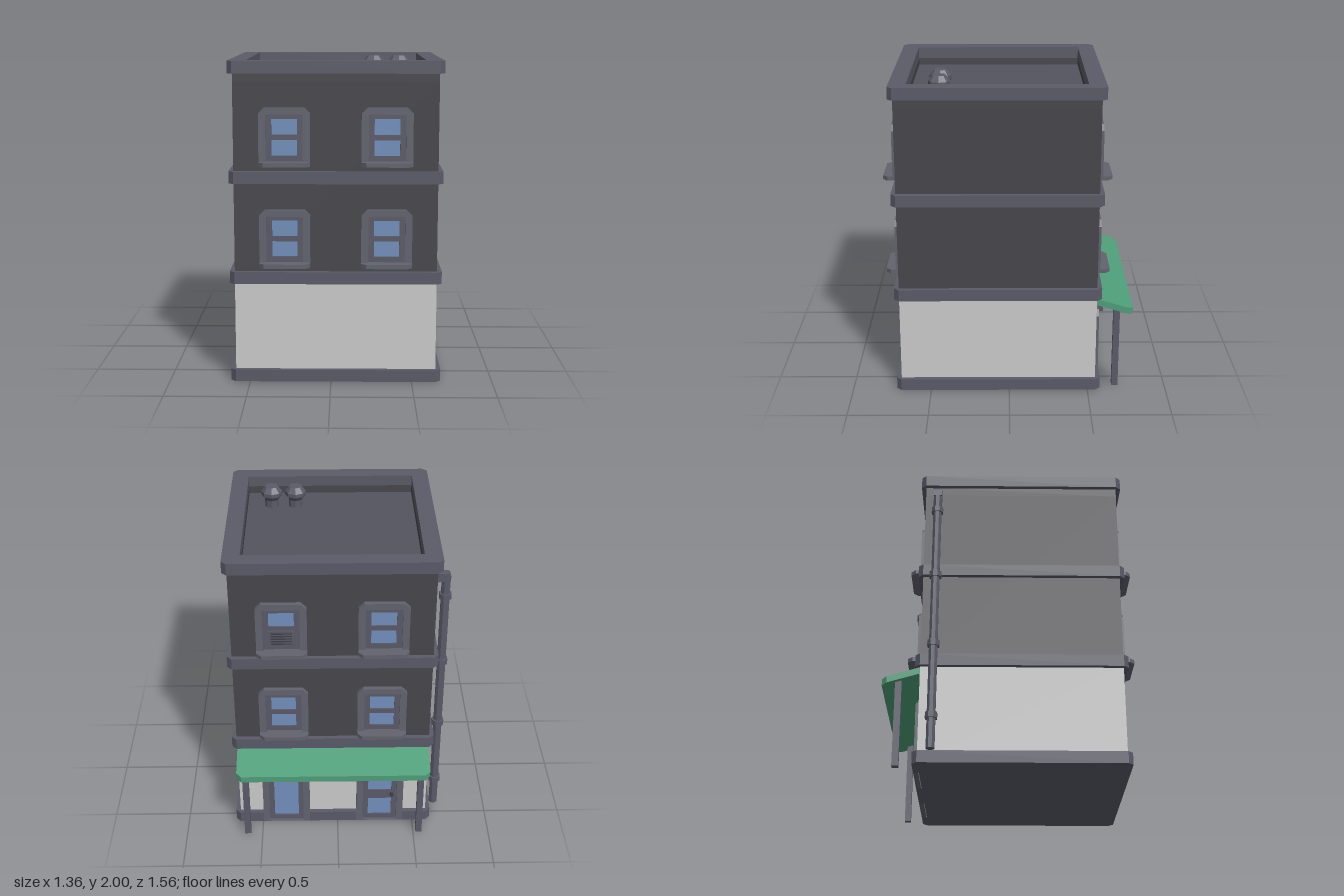
import * as THREE from 'three';

const mat = (color) => new THREE.MeshStandardMaterial({ color, flatShading: true });
const M = {
  wall: mat(0x47474c), stone: mat(0xcccccc), trim: mat(0x5a5b68), frame: mat(0x62636e),
  roof: mat(0x53545f), glass: mat(0x7390bd), awning: mat(0x4f9f79), dark: mat(0x3f4048),
};

function add(parent, name, geo, material, x = 0, y = 0, z = 0) {
  const mesh = new THREE.Mesh(geo, material);
  mesh.name = name;
  mesh.position.set(x, y, z);
  parent.add(mesh);
  return mesh;
}

const poly = (pts) => new THREE.Shape(pts.map(([x, y]) => new THREE.Vector2(x, y)));
const rect = (x0, y0, x1, y1) => [[x0, y0], [x1, y0], [x1, y1], [x0, y1]];

function extrude(pts, depth, holes = []) {
  const shape = poly(pts);
  for (const h of holes) shape.holes.push(poly(h));
  return new THREE.ExtrudeGeometry(shape, { depth, bevelEnabled: false });
}

// Plan outline (x, -z) raised to a height
const plan = (pts, height, holes) => extrude(pts, height, holes).rotateX(-Math.PI / 2);

// Square with cut corners; extra points may be placed along the back edge
function cutSquare(r, c, back = []) {
  return [[-r, -r + c], [-r + c, -r], [r - c, -r], [r, -r + c], [r, r - c], [r - c, r],
    ...back, [-r + c, r], [-r, r - c]];
}

// Surround with cut top corners, open in the middle
function surround(h, c, hole) {
  const w = 0.155;
  return extrude([[-w, 0], [w, 0], [w, h - c], [w - c, h], [-w + c, h], [-w, h - c]], 0.03, [hole]);
}

// Sash window, with its base at y = 0 and the wall face at z = 0
function sashWindow() {
  const g = new THREE.Group();
  g.name = 'window';
  add(g, 'windowSurround', surround(0.35, 0.035, rect(-0.112, 0.02, 0.112, 0.31)), M.frame);
  add(g, 'windowSash', extrude(rect(-0.112, 0.02, 0.112, 0.31), 0.014,
    [rect(-0.077, 0.06, 0.077, 0.155), rect(-0.077, 0.187, 0.077, 0.283)]), M.trim);
  add(g, 'windowGlass', new THREE.BoxGeometry(0.17, 0.25, 0.006), M.glass, 0, 0.17, 0.002);
  add(g, 'windowSill', plan([[-0.155, 0], [-0.155, -0.06], [-0.125, -0.09], [0.125, -0.09],
    [0.155, -0.06], [0.155, 0]], 0.026), M.frame);
  return g;
}

// Glazed door with one or two panes
function door(panes, knob) {
  const g = new THREE.Group();
  g.name = 'door';
  add(g, 'doorSurround', surround(0.465, 0.035, rect(-0.112, 0.005, 0.112, 0.43)), M.frame);
  add(g, 'doorLeaf', extrude(rect(-0.112, 0.005, 0.112, 0.43), 0.014, panes), M.trim);
  add(g, 'doorGlass', new THREE.BoxGeometry(0.18, 0.39, 0.006), M.glass, 0, 0.215, 0.002);
  if (knob) {
    const k = add(g, 'doorKnob', new THREE.CylinderGeometry(0.013, 0.013, 0.022, 8), M.dark, 0.08, 0.218, 0.023);
    k.rotation.x = Math.PI / 2;
  }
  return g;
}

export function createModel() {
  const root = new THREE.Group();
  root.name = 'building';
  const b = new THREE.Group();
  b.name = 'townhouse';
  b.position.set(0.03, 0, 0.07);
  root.add(b);

  // Walls and roof
  add(b, 'groundFloorWalls', new THREE.BoxGeometry(1.24, 0.62, 1.24), M.stone, 0, 0.32, 0);
  add(b, 'upperWalls', new THREE.BoxGeometry(1.24, 1.2, 1.24), M.wall, 0, 1.25, 0);
  add(b, 'roofFloor', new THREE.BoxGeometry(1.12, 0.02, 1.12), M.roof, 0, 1.85, 0);
  const well = rect(-0.543, -0.543, 0.543, 0.543);
  add(b, 'parapetWall', plan(rect(-0.62, -0.62, 0.62, 0.62), 0.06, [well]), M.wall, 0, 1.85, 0);
  add(b, 'parapetCoping', plan(cutSquare(0.65, 0.03), 0.075, [well]), M.trim, 0, 1.905, 0);

  // Base course with gaps for the doors, and floor bands
  const gaps = [0.31, -0.31].flatMap((x) => [[x + 0.155, 0.65], [x + 0.155, 0.615], [x - 0.155, 0.615], [x - 0.155, 0.65]]);
  add(b, 'baseCourse', plan(cutSquare(0.65, 0.03, gaps), 0.075), M.trim);
  for (const y of [0.622, 1.242]) add(b, 'floorBand', plan(cutSquare(0.65, 0.03), 0.075), M.trim, 0, y, 0);

  // Front and back windows
  const faces = [0, Math.PI].map((angle) => {
    const face = new THREE.Group();
    face.name = angle ? 'backFace' : 'frontFace';
    face.rotation.y = angle;
    b.add(face);
    for (const x of [-0.31, 0.31]) for (const y of [0.732, 1.352]) {
      const w = sashWindow();
      w.position.set(x, y, 0.62);
      face.add(w);
    }
    return face;
  });
  const back = faces[1];

  // Air conditioner in one upper back window
  const unit = new THREE.Group();
  unit.name = 'airConditioner';
  unit.position.set(-0.31, 1.46, 0.62);
  back.add(unit);
  add(unit, 'unitCase', new THREE.BoxGeometry(0.165, 0.105, 0.026), M.trim, 0, 0, 0.013);
  for (let i = -2; i <= 2; i++) add(unit, 'unitSlat', new THREE.BoxGeometry(0.13, 0.008, 0.004), M.dark, 0, i * 0.018, 0.027);

  // Doors
  const glazed = door([rect(-0.08, 0.04, 0.08, 0.4)], false);
  glazed.position.set(-0.31, 0, 0.62);
  const entry = door([rect(-0.077, 0.04, 0.077, 0.18), rect(-0.077, 0.25, 0.077, 0.4)], true);
  entry.position.set(0.31, 0, 0.62);
  back.add(glazed, entry);

  // Sloping awning on two posts
  const slab = plan([[-0.617, 0.62], [0.617, 0.62], [0.617, 0.82], [0.587, 0.85], [-0.587, 0.85], [-0.617, 0.82]], 0.042);
  const p = slab.attributes.position;
  for (let i = 0; i < p.count; i++) p.setY(i, p.getY(i) + 0.578 + 0.3 * (p.getZ(i) + 0.62));
  slab.computeVertexNormals();
  add(b, 'awning', slab, M.awning);
  for (const s of [-1, 1]) add(b, 'awningPost', new THREE.BoxGeometry(0.04, 0.545, 0.04), M.trim, s * 0.567, 0.2725, -0.75);

  // Drainpipe with collars and a top elbow
  const pipe = new THREE.Group();
  pipe.name = 'drainpipe';
  pipe.position.set(-0.678, 0, -0.54);
  b.add(pipe);
  const tube = (r, h) => new THREE.CylinderGeometry(r, r, h, 8).rotateY(Math.PI / 8);
  add(pipe, 'pipeShaft', tube(0.028, 1.76), M.trim, 0, 0.955, 0);
  for (const y of [0.28, 0.75, 1.225, 1.695]) add(pipe, 'pipeCollar', tube(0.039, 0.038), M.trim, 0, y, 0);
  add(pipe, 'pipeElbow', extrude([[-0.026, -0.028], [0.07, -0.028], [0.07, 0.027], [-0.012, 0.027], [-0.026, 0.013]], 0.052),
    M.trim, 0, 1.828, -0.026);

  // Roof vents
  const profile = [[0.045, 0], [0.045, 0.05], [0.068, 0.08], [0.068, 0.105], [0.042, 0.14], [0, 0.14]]
    .map(([x, y]) => new THREE.Vector2(x, y));
  for (const x of [0.23, 0.385]) add(b, 'roofVent', new THREE.LatheGeometry(profile, 8), M.trim, x, 1.86, 0.355);

  return root;
}
